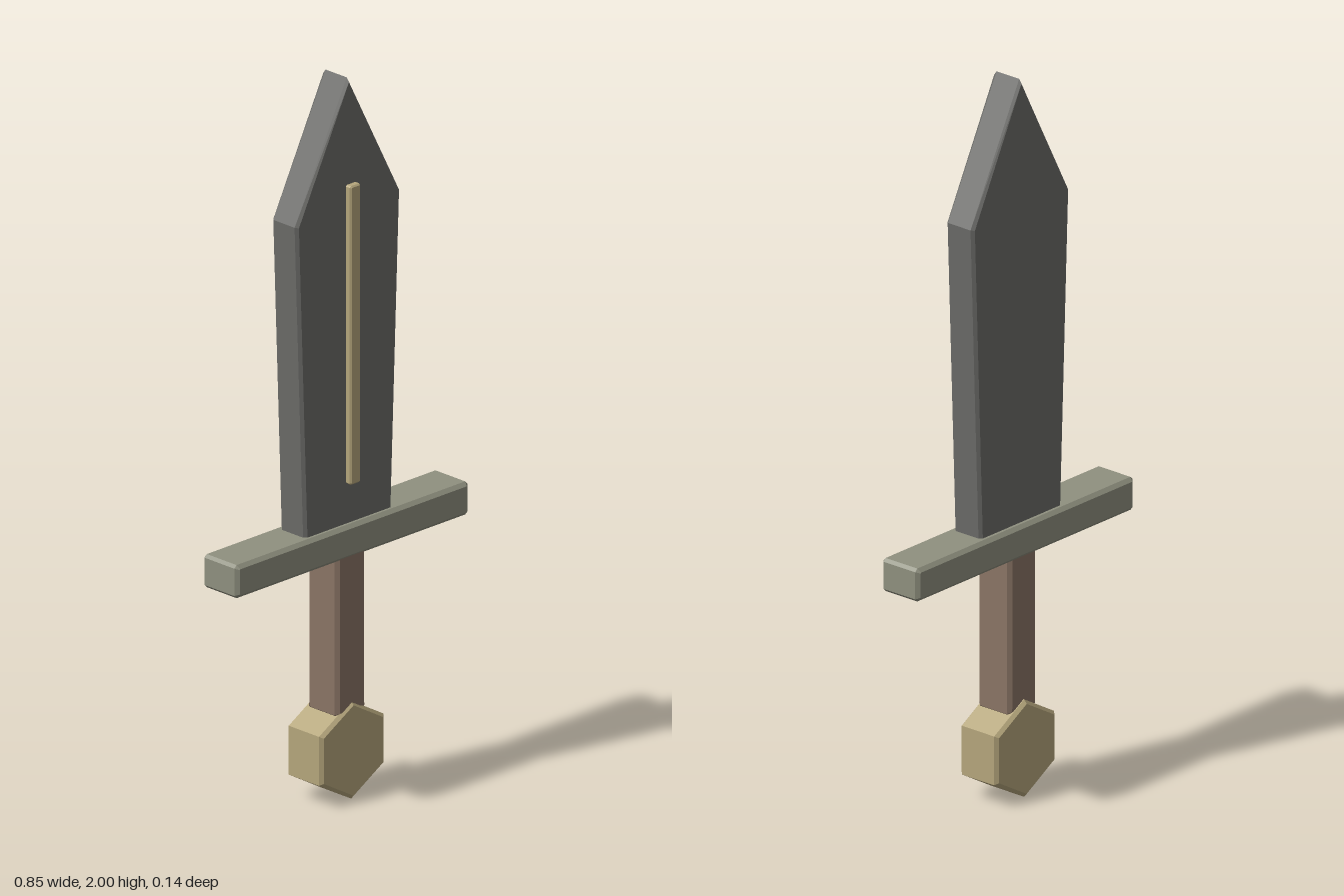
import * as THREE from 'three';

const material = (name, color) => {
  const m = new THREE.MeshStandardMaterial({ color, flatShading: true });
  m.name = name;
  return m;
};

// Extrudes an outline between two depths with a small chamfer on the front and back edges
function plate(name, points, zBack, zFront, bevel, mat) {
  const shape = new THREE.Shape(points.map(([x, y]) => new THREE.Vector2(x, y)));
  const geometry = new THREE.ExtrudeGeometry(shape, {
    depth: zFront - zBack - 2 * bevel,
    bevelEnabled: true,
    bevelSegments: 1,
    bevelThickness: bevel,
    bevelSize: bevel,
    bevelOffset: -bevel,
  });
  geometry.translate(0, 0, zBack + bevel);
  const mesh = new THREE.Mesh(geometry, mat);
  mesh.name = name;
  return mesh;
}

// Rectangle outline with clipped corners
function bar(halfWidth, y0, y1, c) {
  const w = halfWidth;
  return [
    [-w + c, y0], [w - c, y0], [w, y0 + c], [w, y1 - c],
    [w - c, y1], [-w + c, y1], [-w, y1 - c], [-w, y0 + c],
  ];
}

export function createModel() {
  const steel = material('dark steel', 0x6b6b68);
  const guardMetal = material('guard metal', 0x8f907f);
  const leather = material('brown grip', 0x8a7565);
  const gold = material('pale gold', 0xb5a67c);

  const sword = new THREE.Group();
  sword.name = 'sword';

  // Blade widening toward a pointed tip
  const bladeOutline = [[-0.158, 0.74], [0.158, 0.74], [0.19, 1.635], [0, 2], [-0.19, 1.635]];
  sword.add(plate('blade', bladeOutline, -0.052, 0.042, 0.008, steel));

  // Raised strip on the front of the blade only
  sword.add(plate('bladeStrip', bar(0.019, 0.88, 1.71, 0.004), 0.046, 0.068, 0.004, gold));

  // Crossguard and grip
  sword.add(plate('crossguard', bar(0.424, 0.673, 0.765, 0.008), -0.07, 0.059, 0.01, guardMetal));
  sword.add(plate('grip', bar(0.054, 0.24, 0.69, 0.004), -0.059, 0.053, 0.01, leather));

  // Hexagonal pommel
  const hexagon = Array.from({ length: 6 }, (_, i) => {
    const a = Math.PI / 6 + (i * Math.PI) / 3;
    return [0.135 * Math.cos(a), 0.136 + 0.136 * Math.sin(a)];
  });
  sword.add(plate('pommel', hexagon, -0.07, 0.059, 0.009, gold));

  return sword;
}
